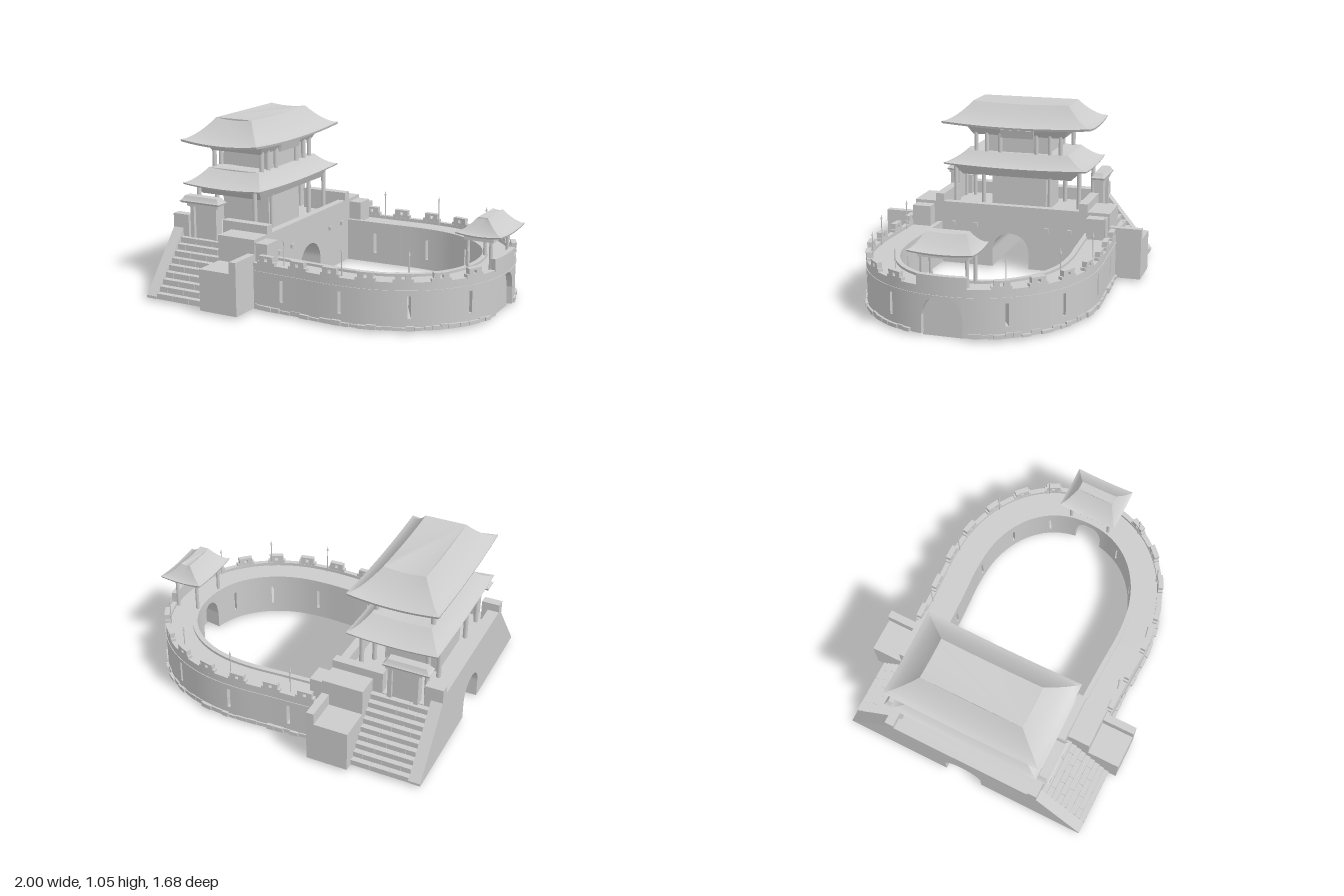
import * as THREE from 'three';
import { toCreasedNormals, mergeGeometries } from 'three/addons/utils/BufferGeometryUtils.js';

const mat = new THREE.MeshStandardMaterial({ color: 0xcccccc });
const BASE = 0.015;

export function createModel() {
  const root = new THREE.Group();
  const add = (name, geo) => {
    const m = new THREE.Mesh(geo, mat);
    m.name = name;
    root.add(m);
    return m;
  };
  const box = (name, x0, x1, y0, y1, z0, z1) => {
    const m = add(name, new THREE.BoxGeometry(x1 - x0, y1 - y0, Math.abs(z1 - z0)));
    m.position.set((x0 + x1) / 2, (y0 + y1) / 2, (z0 + z1) / 2);
    return m;
  };
  const column = (name, x, y0, y1, z, r) => {
    const m = add(name, new THREE.CylinderGeometry(r, r, y1 - y0, 10));
    m.position.set(x, (y0 + y1) / 2, z);
  };

  // Skin a row of closed cross-sections, capped at both ends
  function loft(rings) {
    const p = [], n = rings[0].length, last = rings[rings.length - 1];
    const tri = (...v) => v.forEach((q) => p.push(q.x, q.y, q.z));
    for (let k = 0; k < rings.length - 1; k++) for (let i = 0; i < n; i++) {
      const j = (i + 1) % n, a = rings[k], b = rings[k + 1];
      tri(a[i], a[j], b[j]);
      tri(a[i], b[j], b[i]);
    }
    for (let i = 1; i < n - 1; i++) {
      tri(rings[0][0], rings[0][i + 1], rings[0][i]);
      tri(last[0], last[i], last[i + 1]);
    }
    const g = new THREE.BufferGeometry();
    g.setAttribute('position', new THREE.Float32BufferAttribute(p, 3));
    return toCreasedNormals(g, 0.5);
  }

  // Extrude a [z, y] outline along x
  function extrudeX(shape, x0, x1) {
    const g = new THREE.ExtrudeGeometry(shape, { depth: x1 - x0, bevelEnabled: false, curveSegments: 20 });
    return g.rotateY(Math.PI / 2).translate(x0, 0, 0);
  }
  // Symmetric wall outline with an arched passage; pts climb the +z side
  function archedShape(pts) {
    const s = new THREE.Shape();
    s.moveTo(-0.12, BASE);
    s.lineTo(-0.12, 0.12);
    s.absarc(0, 0.12, 0.12, Math.PI, 0, true);
    s.lineTo(0.12, BASE);
    pts.forEach(([z, y]) => s.lineTo(z, y));
    [...pts].reverse().forEach(([z, y]) => s.lineTo(-z, y));
    return s;
  }

  // Gate platform with its passage, back wall and front parapet
  add('gatePlatform', extrudeX(archedShape([[0.5, BASE], [0.5, 0.34]]), -0.93, -0.38));
  add('backWall', extrudeX(archedShape([[0.79, BASE], [0.79, 0.03], [0.5, 0.385], [0.5, 0.47], [0.445, 0.47], [0.445, 0.42]]), -1, -0.93));
  add('frontParapetWall', extrudeX(archedShape([[0.5, BASE], [0.5, 0.42]]), -0.38, -0.33));
  for (const z of [-0.39, -0.24, 0.23, 0.38]) box('waterSpout', -0.34, -0.315, 0.27, 0.295, z - 0.012, z + 0.012);

  for (const s of [1, -1]) {
    box('sideParapet', -0.64, -0.33, 0.33, 0.47, s * 0.445, s * 0.5);
    box('sideParapet', -0.93, -0.89, 0.33, 0.47, s * 0.445, s * 0.5);
    box('upperAbutment', -0.58, -0.33, BASE, 0.42, s * 0.5, s * 0.64);
    box('lowerAbutment', -0.58, -0.375, BASE, 0.265, s * 0.64, s * 0.84);
    box('abutmentParapet', -0.375, -0.33, BASE, 0.335, s * 0.64, s * 0.84);
    box('wallLinkBlock', -0.33, -0.25, BASE, 0.4, s * 0.51, s * 0.63);

    // Brick stairs: staggered courses over a slightly recessed core
    const rows = 9, rise = 0.32 / rows, run = 0.29 / rows, gap = 0.002, len = 0.1167;
    for (let r = 0; r < rows; r++) {
      const y = BASE + r * rise, z = 0.79 - r * run;
      box('stairCore', -0.93, -0.58, y, y + rise - 0.004, s * 0.49, s * (z - 0.004));
      for (let x = -0.93 - (r % 2) * len / 2; x < -0.585; x += len) {
        const a = Math.max(x, -0.93), b = Math.min(x + len, -0.58);
        box('stairBrick', a + gap, b - gap, y + gap, y + rise, s * (z - run - 0.004), s * z);
      }
    }

    // Roofed doorway at the stair head
    for (const x of [-0.86, -0.7]) box('stairGateJamb', x, x + 0.025, 0.34, 0.55, s * 0.46, s * 0.52);
    box('stairGateDoor', -0.84, -0.69, 0.34, 0.54, s * 0.475, s * 0.5);
    box('stairGateLintel', -0.88, -0.66, 0.535, 0.565, s * 0.455, s * 0.525);
    roof('stairGateRoof', -0.785, s * 0.49, [0.14, 0.045], [0.115, 0.025], 0.565, 0.595, 0.012, 0);
  }

  // Hipped roof with concave slopes and lifted corners
  function roof(name, cx, cz, eave, ridge, y0, y1, thick, lift) {
    const N = 12;
    const ring = (hx, hz, y, up) => {
      const pts = [];
      const c = [[-1, 1], [1, 1], [1, -1], [-1, -1]];
      for (let k = 0; k < 4; k++) for (let i = 0; i < N; i++) {
        const t = i / N, [ax, az] = c[k], [bx, bz] = c[(k + 1) % 4];
        pts.push(new THREE.Vector3(cx + hx * (ax + (bx - ax) * t), y + up * (2 * t - 1) ** 2, cz + hz * (az + (bz - az) * t)));
      }
      return pts;
    };
    const rings = [
      ring(eave[0] * 0.75, eave[1] * 0.8, y0 - thick * 0.5, 0),
      ring(eave[0] - 0.004, eave[1] - 0.004, y0 - thick, lift),
    ];
    for (let k = 0; k <= 8; k++) {
      const f = k / 8, mix = (i) => eave[i] + (ridge[i] - eave[i]) * f;
      rings.push(ring(mix(0), mix(1), y0 + (y1 - y0) * f ** 1.45, lift * ((1 - f) ** 2 + 0.5 * f)));
    }
    add(name, loft(rings));
  }
  // Tapered bracket tier below a roof
  function brackets(name, cx, low, high, y0, y1) {
    const ring = ([hx, hz], y) => [[-1, 1], [1, 1], [1, -1], [-1, -1]].map(([a, b]) => new THREE.Vector3(cx + a * hx, y, b * hz));
    add(name, loft([ring(low, y0), ring(high, y1)]));
  }

  // Two-storey gate tower
  const TX = -0.67;
  box('lowerHall', -0.85, -0.52, 0.34, 0.58, -0.18, 0.18);
  for (const x of [-0.87, -0.47]) for (const z of [-0.41, -0.22, 0.22, 0.41]) column('lowerColumn', x, 0.34, 0.635, z, 0.014);
  brackets('lowerBrackets', TX, [0.21, 0.36], [0.235, 0.41], 0.58, 0.64);
  roof('lowerRoof', TX, 0, [0.275, 0.47], [0.18, 0.33], 0.645, 0.73, 0.01, 0.014);
  box('upperHall', -0.83, -0.51, 0.73, 0.86, -0.2, 0.2);
  for (const x of [-0.84, -0.5]) for (const z of [-0.28, -0.21, -0.12, 0.12, 0.21, 0.28])
    column('upperColumn', x, 0.72, 0.86, z, 0.014);
  brackets('upperBrackets', TX, [0.175, 0.3], [0.21, 0.335], 0.84, 0.9);
  const board = box('frontPanel', -0.48, -0.465, 0.83, 0.885, -0.11, 0.11);
  board.rotation.z = -0.25;
  roof('upperRoof', TX, 0, [0.27, 0.485], [0.125, 0.315], 0.908, 1.037, 0.014, 0.02);

  // Outer line of the U-shaped wall: straight runs into a full half-ellipse
  const half = [[-0.35, 0.668], [-0.05, 0.68], [0.2, 0.69]];
  for (let k = 1; k <= 5; k++) {
    const a = (k * Math.PI) / 12;
    half.push([0.2 + 0.77 * Math.sin(a) ** 0.95, 0.69 * Math.cos(a) ** 0.95]);
  }
  const outline = [...half, [0.97, 0], ...half.map(([x, z]) => [x, -z]).reverse()];
  const path = new THREE.CatmullRomCurve3(outline.map(([x, z]) => new THREE.Vector3(x, 0, z - 0.013)));
  const L = path.getLength(), mid = L / 2, gate = mid - 0.013;
  // Point at distance s along the wall, offset d outward
  function at(s, d, y) {
    const u = Math.min(Math.max(s / L, 0), 1), p = path.getPointAt(u), t = path.getTangentAt(u);
    return new THREE.Vector3(p.x - t.z * d, y, p.z + t.x * d);
  }
  // Curved block following the wall; y0 may be a function of s
  function band(s0, s1, y0, y1, d0, d1) {
    const n = Math.max(1, Math.ceil((s1 - s0) / 0.02)), rings = [];
    for (let i = 0; i <= n; i++) {
      const s = s0 + ((s1 - s0) * i) / n, low = typeof y0 === 'function' ? y0(s) : y0;
      rings.push([at(s, d1, y1), at(s, d1, low), at(s, d0, low), at(s, d0, y1)]);
    }
    return loft(rings);
  }

  // Wall body with slits and the arched gate
  const slits = [0.21, 0.595, 0.995, 1.36].flatMap((s) => [s, L - s]);
  const openings = [...slits.map((s) => [s - 0.01, s + 0.01]), [gate - 0.12, gate + 0.12]].sort((a, b) => a[0] - b[0]);
  const IN = -0.197, WALK = 0.27, wall = [];
  const archY = (s) => 0.12 + Math.sqrt(Math.max(0, 0.0144 - (s - gate) ** 2));
  let from = 0;
  for (const [a, b] of openings) {
    wall.push(band(from, a, BASE, WALK, IN, 0));
    if (b - a > 0.1) wall.push(band(a, b, archY, WALK, IN, 0));
    else wall.push(band(a, b, BASE, 0.08, IN, 0), band(a, b, 0.21, WALK, IN, 0));
    from = b;
  }
  wall.push(band(from, L, BASE, WALK, IN, 0));
  add('ringWall', mergeGeometries(wall));
  add('innerCurb', band(0, L, WALK, 0.285, IN, IN + 0.03));
  add('outerParapet', band(0, L, WALK, 0.29, -0.03, 0));
  add('stringCourse', band(0, L, 0.238, 0.244, -0.01, 0.004));
  add('gateParapet', band(gate - 0.145, gate + 0.145, 0.28, 0.355, -0.03, 0.003));

  // Closed arched door inside the outer gate
  const door = new THREE.Shape();
  door.moveTo(-0.119, 0);
  door.lineTo(-0.119, 0.12);
  door.absarc(0, 0.12, 0.119, Math.PI, 0, true);
  door.lineTo(0.119, 0);
  add('gateDoor', extrudeX(door, 0.87, 0.93));

  // Stepped merlons, each with a loophole
  const merlons = [], count = Math.round(L / 0.217);
  for (let i = 0; i < count; i++) {
    const s = ((i + 0.5) * L) / count;
    if (Math.abs(s - gate) < 0.19) continue;
    merlons.push(
      band(s - 0.058, s + 0.058, 0.285, 0.307, -0.028, 0.002),
      band(s - 0.045, s - 0.01, 0.307, 0.327, -0.028, 0.002),
      band(s + 0.01, s + 0.045, 0.307, 0.327, -0.028, 0.002),
      band(s - 0.045, s + 0.045, 0.327, 0.34, -0.028, 0.004));
  }
  add('merlons', mergeGeometries(merlons));

  // Uneven footing stones
  let seed = 7;
  const rnd = () => (seed = (seed * 16807) % 2147483647) / 2147483647;
  const stones = [];
  for (let s = 0.03; s < L - 0.03;) {
    const e = Math.min(s + 0.03 + 0.05 * rnd(), L);
    const top = 0.03 + 0.016 * rnd(), out = 0.006 + 0.013 * rnd();
    if (e < gate - 0.12 || s > gate + 0.12) stones.push(band(s, e - 0.003, BASE, top, -0.02, out));
    s = e;
  }
  add('footingStones', mergeGeometries(stones));

  // Spear poles above the slits
  for (const s of slits) {
    const p = at(s, -0.035, 0);
    column('spearPole', p.x, WALK, 0.435, p.z, 0.003);
    const tip = add('spearTip', new THREE.ConeGeometry(0.007, 0.03, 6));
    tip.position.set(p.x, 0.447, p.z);
  }

  // Watch pavilion over the outer gate
  for (const x of [0.78, 0.92]) for (const z of [-0.135, 0.125]) column('pavilionColumn', x, 0.265, 0.46, z, 0.011);
  box('pavilionBeam', 0.76, 0.94, 0.445, 0.475, -0.15, 0.14);
  roof('pavilionRoof', 0.86, -0.005, [0.14, 0.187], [0.03, 0.115], 0.483, 0.572, 0.01, 0.012);

  return root;
}
